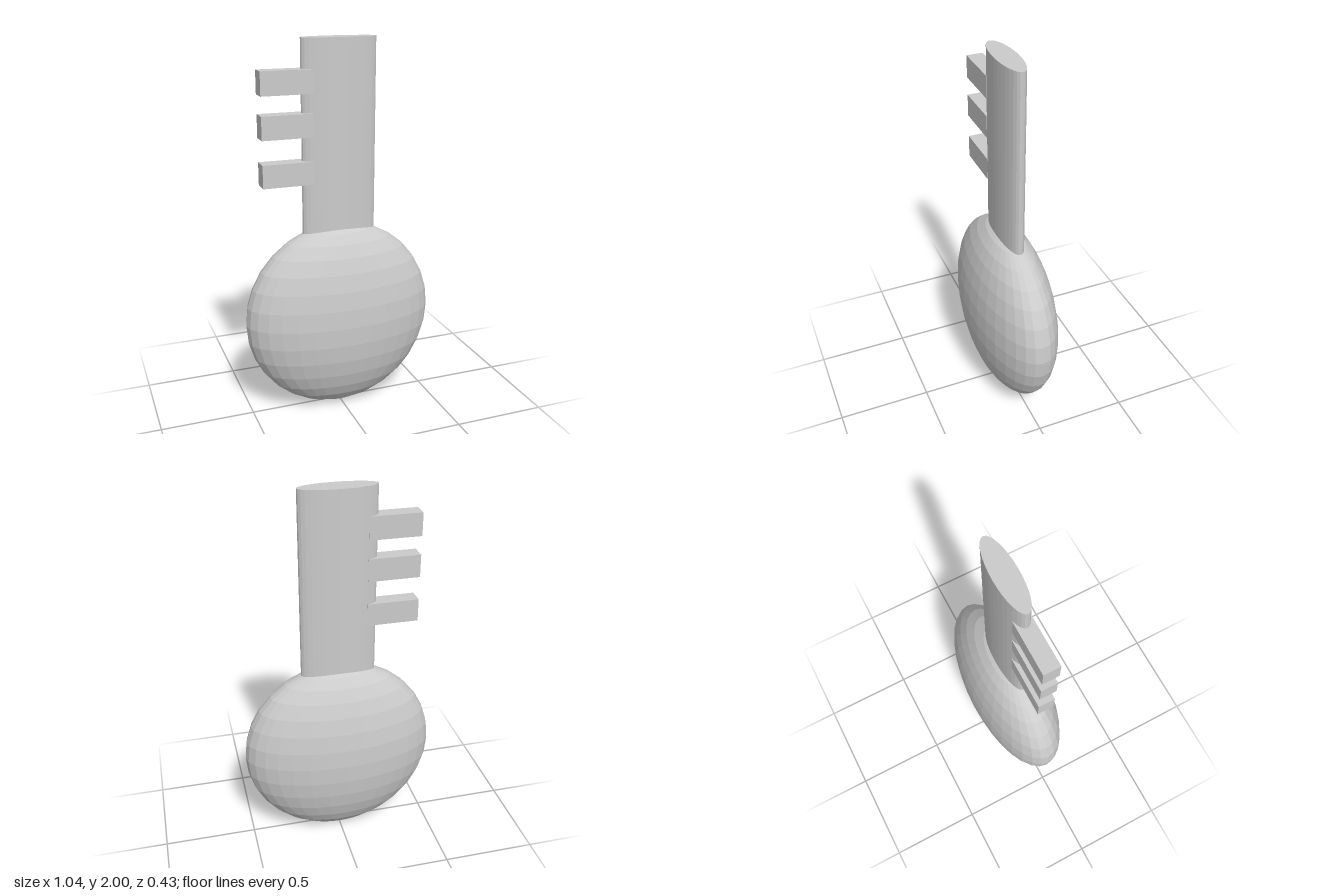
import * as THREE from 'three';

export function createModel() {
  const model = new THREE.Group();
  model.name = 'key';
  const material = new THREE.MeshStandardMaterial({ color: 0xcccccc, flatShading: true });

  const add = (name, geometry, x, y, z) => {
    const mesh = new THREE.Mesh(geometry, material);
    mesh.name = name;
    mesh.position.set(x, y, z);
    model.add(mesh);
    return mesh;
  };

  // Flattened round grip
  add('bow', new THREE.SphereGeometry(1, 32, 16), 0, 0.52, 0).scale.set(0.52, 0.52, 0.217);

  // Oval shaft, sunk into the grip
  const shaftBottom = 0.9, shaftTop = 2;
  add('shaft', new THREE.CylinderGeometry(1, 1, shaftTop - shaftBottom, 32),
    0, (shaftTop + shaftBottom) / 2, -0.002).scale.set(0.2, 1, 0.06);

  // Three teeth on the model's right side
  const outer = -0.416, inner = -0.145;
  [1.33, 1.573, 1.79].forEach((y, i) => {
    add(`tooth${i + 1}`, new THREE.BoxGeometry(inner - outer, 0.12, 0.086),
      (inner + outer) / 2, y, -0.002);
  });

  return model;
}
